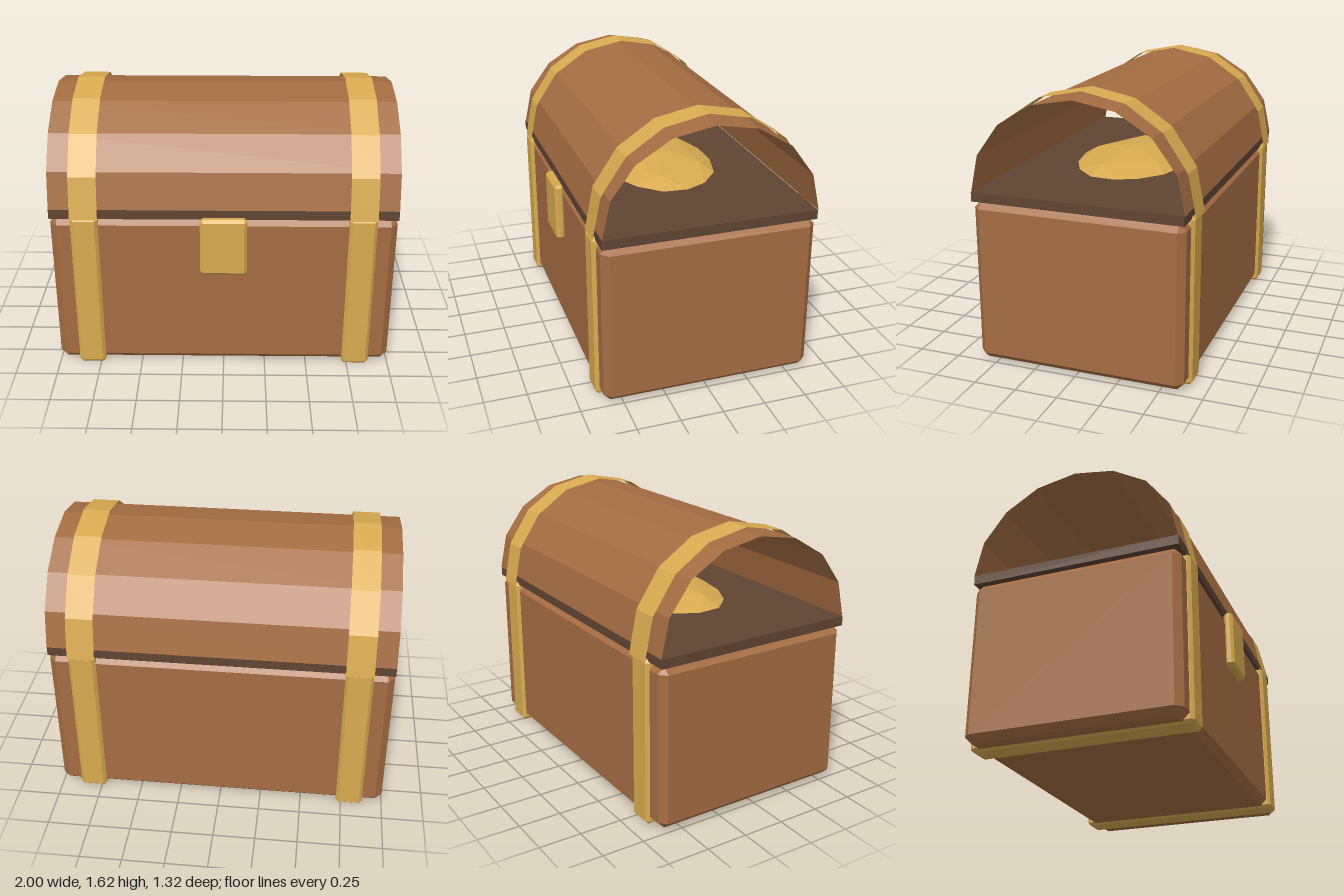
import * as THREE from 'three';
import { ConvexGeometry } from 'three/addons/geometries/ConvexGeometry.js';

const material = (name, color, extra = {}) =>
  Object.assign(new THREE.MeshStandardMaterial({ color, flatShading: true, ...extra }), { name });

// Box between two corners with a flat chamfer c on every edge
function chamferBox([x0, y0, z0], [x1, y1, z1], c) {
  const centre = new THREE.Vector3(x0 + x1, y0 + y1, z0 + z1).multiplyScalar(0.5);
  const half = new THREE.Vector3(x1 - x0, y1 - y0, z1 - z0).multiplyScalar(0.5);
  const points = [];
  for (const sx of [-1, 1]) for (const sy of [-1, 1]) for (const sz of [-1, 1])
    for (const face of ['x', 'y', 'z']) {
      const p = half.clone().subScalar(c);
      p[face] = half[face];
      points.push(p.multiply(new THREE.Vector3(sx, sy, sz)).add(centre));
    }
  return new ConvexGeometry(points);
}

// Open half barrel along x, eight flat sides
function arch(width, rz, ry, x, y, z) {
  const g = new THREE.CylinderGeometry(1, 1, width, 8, 1, true, 0, Math.PI);
  g.rotateZ(Math.PI / 2); // axis to x, curved side up
  g.scale(1, ry, rz);
  g.translate(x, y, z);
  return g;
}

export function createModel() {
  const chest = new THREE.Group();
  chest.name = 'treasureChest';
  const wood = material('wood', 0xa56d42, { side: THREE.DoubleSide });
  const darkWood = material('darkWood', 0x604532);
  const gold = material('gold', 0xd8ab50, { side: THREE.DoubleSide });

  const add = (name, geometry, mat) => {
    const mesh = new THREE.Mesh(geometry, mat);
    mesh.name = name;
    chest.add(mesh);
  };

  // Body and the dark rim it carries
  add('body', chamferBox([-1, 0.012, -0.632], [1, 0.972, 0.608], 0.04), wood);
  const rim = new THREE.BoxGeometry(2, 0.056, 1.24);
  rim.translate(0, 1.002, -0.012);
  add('rim', rim, darkWood);

  // Vaulted lid, open at both ends
  add('lid', arch(2, 0.62, 0.56, 0, 1.03, -0.015), wood);

  // Metal straps round the body and over the lid
  for (const [side, x] of [['left', 0.8], ['right', -0.8]]) {
    add(side + 'BodyStrap', chamferBox([x - 0.08, 0, -0.65], [x + 0.08, 0.985, 0.63], 0.018), gold);
    add(side + 'LidStrap', arch(0.16, 0.643, 0.64, x, 0.975, -0.017), gold);
  }

  // Lock plate
  add('lock', chamferBox([-0.135, 0.635, 0.6], [0.135, 0.99, 0.658], 0.017), gold);

  // Low heap of gold under the lid
  const heap = new THREE.IcosahedronGeometry(1, 1);
  heap.rotateX(-Math.atan((1 + Math.sqrt(5)) / 2)); // one corner straight up
  heap.scale(0.75, 0.27, 0.5);
  heap.translate(0, 0.85, -0.01);
  add('goldHeap', heap, gold);

  return chest;
}
